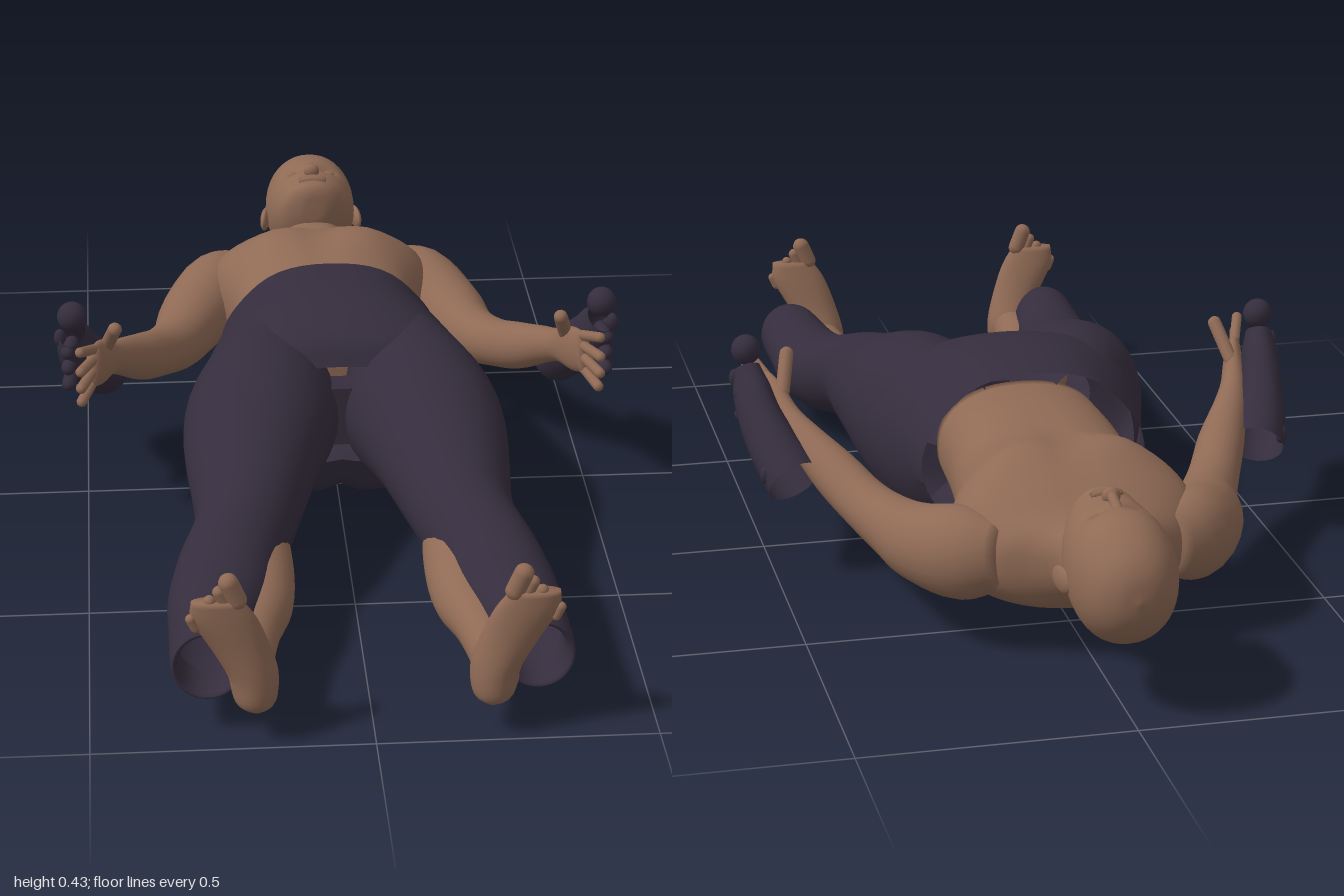
import * as THREE from 'three';

const skin = new THREE.MeshStandardMaterial({ color: 0x8f6a55 });
skin.name = 'skin';
const cloth = new THREE.MeshStandardMaterial({ color: 0x352d3d, side: THREE.DoubleSide });
cloth.name = 'dark cloth';

const V = (x, y, z) => new THREE.Vector3(x, y, z);

// Smooth loft through oval sections [x, y, z, rx, ry].
// axis 'z' and 'y' keep the sections level, 'path' turns them along the path.
function loft(rows, { axis = 'z', n = 32, steps = 4, pow = 2, cap = true, tweak = null } = {}) {
  const centres = new THREE.CatmullRomCurve3(rows.map(r => V(r[0], r[1], r[2])), false, 'catmullrom');
  const radii = new THREE.CatmullRomCurve3(rows.map(r => V(r[3], r[4], 0)), false, 'catmullrom');
  const m = (rows.length - 1) * steps, pos = [], idx = [];
  for (let i = 0; i <= m; i++) {
    const c = centres.getPoint(i / m), r = radii.getPoint(i / m);
    const t = axis === 'y' ? V(0, 1, 0) : axis === 'z' ? V(0, 0, 1) : centres.getTangent(i / m);
    const up = axis === 'y' ? V(0, 0, -1) : V(0, 1, 0);
    const u = up.cross(t).normalize(), v = t.clone().cross(u);
    for (let j = 0; j < n; j++) {
      const a = j / n * Math.PI * 2, cs = Math.cos(a), sn = Math.sin(a);
      const p = c.clone()
        .addScaledVector(u, Math.sign(cs) * Math.abs(cs) ** (2 / pow) * Math.max(r.x, 0))
        .addScaledVector(v, Math.sign(sn) * Math.abs(sn) ** (2 / pow) * Math.max(r.y, 0));
      if (tweak) tweak(p);
      pos.push(p.x, p.y, p.z);
      if (i < m) {
        const k = (j + 1) % n, A = i * n + j, B = i * n + k;
        idx.push(A, B, B + n, A, B + n, A + n);
      }
    }
  }
  if (cap) {
    const s = pos.length / 3, a = rows[0], b = rows[rows.length - 1];
    pos.push(a[0], a[1], a[2], b[0], b[1], b[2]);
    for (let j = 0; j < n; j++) {
      const k = (j + 1) % n;
      idx.push(s, k, j, s + 1, m * n + j, m * n + k);
    }
  }
  const g = new THREE.BufferGeometry();
  g.setAttribute('position', new THREE.Float32BufferAttribute(pos, 3));
  g.setIndex(idx);
  g.computeVertexNormals();
  return g;
}

function add(parent, name, geometry, material) {
  const mesh = new THREE.Mesh(geometry, material);
  mesh.name = name;
  parent.add(mesh);
  return mesh;
}

function ball(parent, name, material, p, s) {
  const b = add(parent, name, new THREE.SphereGeometry(1, 18, 12), material);
  b.position.set(...p);
  b.scale.set(...s);
  return b;
}

function capsule(parent, name, material, a, b, r) {
  const A = V(...a), B = V(...b), d = B.clone().sub(A);
  const c = add(parent, name, new THREE.CapsuleGeometry(r, d.length(), 5, 10), material);
  c.position.copy(A).add(B).multiplyScalar(0.5);
  c.quaternion.setFromUnitVectors(V(0, 1, 0), d.normalize());
}

const bump = (x, w) => Math.exp(-((x / w) ** 2));

// Section from its lowest and highest points, centred on x = 0
const span = ([z, rx, lo, hi]) => [0, (lo + hi) / 2, z, rx, (hi - lo) / 2];

function buildHead(g) {
  const head = new THREE.Group();
  head.name = 'head';
  g.add(head);
  add(head, 'skull', loft([
    [-1, 0.004, 0.238, 0.246], [-0.992, 0.04, 0.2, 0.29], [-0.965, 0.072, 0.162, 0.328],
    [-0.91, 0.094, 0.132, 0.36], [-0.85, 0.097, 0.137, 0.365], [-0.8, 0.09, 0.165, 0.36],
    [-0.76, 0.076, 0.2, 0.36], [-0.735, 0.058, 0.235, 0.362], [-0.722, 0.03, 0.27, 0.345],
    [-0.72, 0.004, 0.3, 0.31],
  ].map(span), {
    pow: 2.1, n: 40, steps: 5,
    tweak: p => { // eye sockets
      if (p.y > 0.3) p.y -= 0.014 * bump(Math.abs(p.x) - 0.037, 0.02) * bump(p.z + 0.835, 0.016);
    },
  }), skin);
  capsule(head, 'noseBridge', skin, [0, 0.356, -0.845], [0, 0.368, -0.803], 0.01);
  ball(head, 'noseTip', skin, [0, 0.366, -0.797], [0.017, 0.016, 0.012]);
  for (const [z, name] of [[-0.769, 'upperLip'], [-0.759, 'lowerLip']])
    ball(head, name, skin, [0, 0.358, z], [0.03, 0.01, 0.006]);
  for (const s of [1, -1]) {
    ball(head, 'eyelid', skin, [s * 0.037, 0.339, -0.835], [0.016, 0.01, 0.008]);
    ball(head, 'ear', skin, [s * 0.1, 0.235, -0.845], [0.01, 0.024, 0.036]).rotation.y = s * 0.2;
  }
}

function buildTorso(g) {
  add(g, 'torso', loft([
    [-0.8, 0.06, 0.165, 0.27], [-0.76, 0.066, 0.155, 0.275], [-0.715, 0.074, 0.14, 0.275],
    [-0.68, 0.115, 0.115, 0.275], [-0.64, 0.185, 0.09, 0.285], [-0.57, 0.23, 0.068, 0.325],
    [-0.5, 0.228, 0.062, 0.35], [-0.42, 0.2, 0.066, 0.347], [-0.32, 0.18, 0.082, 0.333],
    [-0.21, 0.17, 0.09, 0.345], [-0.08, 0.165, 0.1, 0.34],
  ].map(span), {
    pow: 2.3, n: 48, steps: 5,
    tweak: p => { // chest muscles and the groove of the spine
      if (p.y > 0.22) p.y += 0.014 * bump(Math.abs(p.x) - 0.095, 0.06) * bump(p.z + 0.48, 0.06)
        - 0.008 * bump(p.x, 0.02) * bump(p.z + 0.45, 0.15);
      else p.y += 0.012 * bump(p.x, 0.025) * bump(p.z + 0.4, 0.2);
    },
  }), skin);
}

function buildArm(g, s) {
  const arm = new THREE.Group();
  arm.name = s > 0 ? 'leftArm' : 'rightArm';
  g.add(arm);
  const mx = r => [r[0] * s, ...r.slice(1)];
  add(arm, 'arm', loft([
    [0.15, 0.195, -0.62, 0.045, 0.06], [0.215, 0.187, -0.565, 0.077, 0.088],
    [0.27, 0.172, -0.465, 0.074, 0.075], [0.305, 0.168, -0.36, 0.058, 0.06],
    [0.345, 0.185, -0.27, 0.05, 0.05], [0.385, 0.217, -0.18, 0.046, 0.048],
    [0.425, 0.255, -0.1, 0.034, 0.038], [0.45, 0.28, -0.04, 0.026, 0.033],
    [0.467, 0.3, 0.02, 0.021, 0.045], [0.483, 0.315, 0.072, 0.014, 0.042],
  ].map(mx), { axis: 'path', n: 24 }), skin);
  for (let i = 0; i < 4; i++) {
    const k = i - 1.5, tip = 0.142 - 0.007 * k * k;
    capsule(arm, 'finger', skin, [s * 0.481, 0.313 + k * 0.022, 0.06], [s * 0.505, 0.318 + k * 0.035, tip], 0.0105);
  }
  capsule(arm, 'thumb', skin, [s * 0.455, 0.325, 0.0], [s * 0.437, 0.385, 0.055], 0.014);

  // Loose glove with an open cuff, sitting outside the wrist
  const glove = new THREE.Group();
  glove.name = 'glove';
  arm.add(glove);
  add(glove, 'gloveCuff', loft([
    [0.462, 0.2, -0.165, 0.054, 0.055], [0.485, 0.24, -0.11, 0.05, 0.052],
    [0.505, 0.285, -0.05, 0.042, 0.052], [0.515, 0.33, 0.0, 0.036, 0.05],
    [0.521, 0.37, 0.028, 0.026, 0.034],
  ].map(mx), { axis: 'path', n: 20, cap: false }), cloth);
  ball(glove, 'gloveTip', cloth, [s * 0.52, 0.406, 0.035], [0.029, 0.03, 0.028]);
  for (let i = 0; i < 3; i++)
    capsule(glove, 'gloveFinger', cloth, [s * 0.522, 0.28 + i * 0.032, 0.005 + i * 0.008],
      [s * 0.53, 0.268 + i * 0.034, 0.05], 0.014);
  // ridges along the outer edge
  for (let i = 0; i < 7; i++) {
    const t = i / 6;
    ball(glove, 'gloveRidge', cloth, [s * (0.515 + 0.03 * t), 0.215 + 0.14 * t, -0.16 + 0.18 * t], [0.012, 0.018, 0.01]);
  }
}

function buildLeg(g, s) {
  const leg = new THREE.Group();
  leg.name = s > 0 ? 'leftLeg' : 'rightLeg';
  g.add(leg);
  const mx = r => [r[0] * s, ...r.slice(1)];
  // trouser leg, its hem folding back inside
  add(leg, 'trouserLeg', loft([
    [0.13, 0.2, -0.1, 0.1, 0.165], [0.14, 0.2, 0, 0.125, 0.178], [0.151, 0.215, 0.1, 0.148, 0.163],
    [0.164, 0.225, 0.2, 0.147, 0.142], [0.18, 0.213, 0.3, 0.13, 0.117], [0.191, 0.196, 0.4, 0.111, 0.104],
    [0.205, 0.178, 0.5, 0.095, 0.093], [0.24, 0.148, 0.6, 0.095, 0.088], [0.26, 0.13, 0.7, 0.095, 0.08],
    [0.277, 0.133, 0.8, 0.079, 0.068], [0.29, 0.138, 0.93, 0.066, 0.068],
    [0.29, 0.138, 0.93, 0.054, 0.056], [0.284, 0.137, 0.86, 0.056, 0.054],
  ].map(mx), { n: 36, cap: false }), cloth);
  add(leg, 'calf', loft([
    [0.18, 0.16, 0.45, 0.05, 0.05], [0.186, 0.132, 0.58, 0.066, 0.066], [0.19, 0.117, 0.7, 0.062, 0.057],
    [0.207, 0.115, 0.8, 0.05, 0.046], [0.214, 0.115, 0.9, 0.041, 0.044], [0.214, 0.115, 0.97, 0.038, 0.044],
  ].map(mx), { n: 24 }), skin);
  add(leg, 'foot', loft([
    [0.207, 0.06, 0.957, 0.014, 0.018], [0.209, 0.08, 0.955, 0.037, 0.042], [0.213, 0.13, 0.95, 0.045, 0.05],
    [0.235, 0.19, 0.962, 0.052, 0.036], [0.262, 0.25, 0.973, 0.057, 0.025], [0.275, 0.29, 0.98, 0.044, 0.016],
  ].map(mx), { axis: 'y', n: 24 }), skin);
  for (let i = 0; i < 5; i++) {
    const r = i ? 0.0125 - 0.0008 * i : 0.018;
    capsule(leg, 'toe', skin, [s * (0.24 + i * 0.018), 0.29 - i * 0.013, 0.979],
      [s * (0.254 + i * 0.0165), 0.324 - i * 0.017, 0.981], r);
  }
}

export function createModel() {
  const g = new THREE.Group();
  g.name = 'lyingFigure';
  buildHead(g);
  buildTorso(g);
  // trouser seat, open at the waist
  add(g, 'trouserSeat', loft([
    [-0.21, 0.222, 0.07, 0.398], [-0.15, 0.233, 0.045, 0.403], [-0.09, 0.247, 0.016, 0.408],
    [-0.02, 0.266, 0.0, 0.41], [0.05, 0.282, 0.012, 0.4], [0.11, 0.28, 0.05, 0.375], [0.14, 0.2, 0.12, 0.33],
  ].map(span), {
    pow: 2.2, n: 56, cap: false,
    tweak: p => { // cleft and rounded buttocks
      if (p.y < 0.2) p.y += 0.03 * bump(p.x, 0.03) * bump(p.z - 0.01, 0.12);
      else p.y -= 0.02 * bump(Math.abs(p.x) - 0.2, 0.06) * bump(p.z + 0.2, 0.1);
    },
  }), cloth);
  add(g, 'crotchPanel', new THREE.BoxGeometry(0.1, 0.12, 0.06), cloth).position.set(0, 0.225, 0.115);
  for (const s of [1, -1]) {
    buildArm(g, s);
    buildLeg(g, s);
  }
  return g;
}
